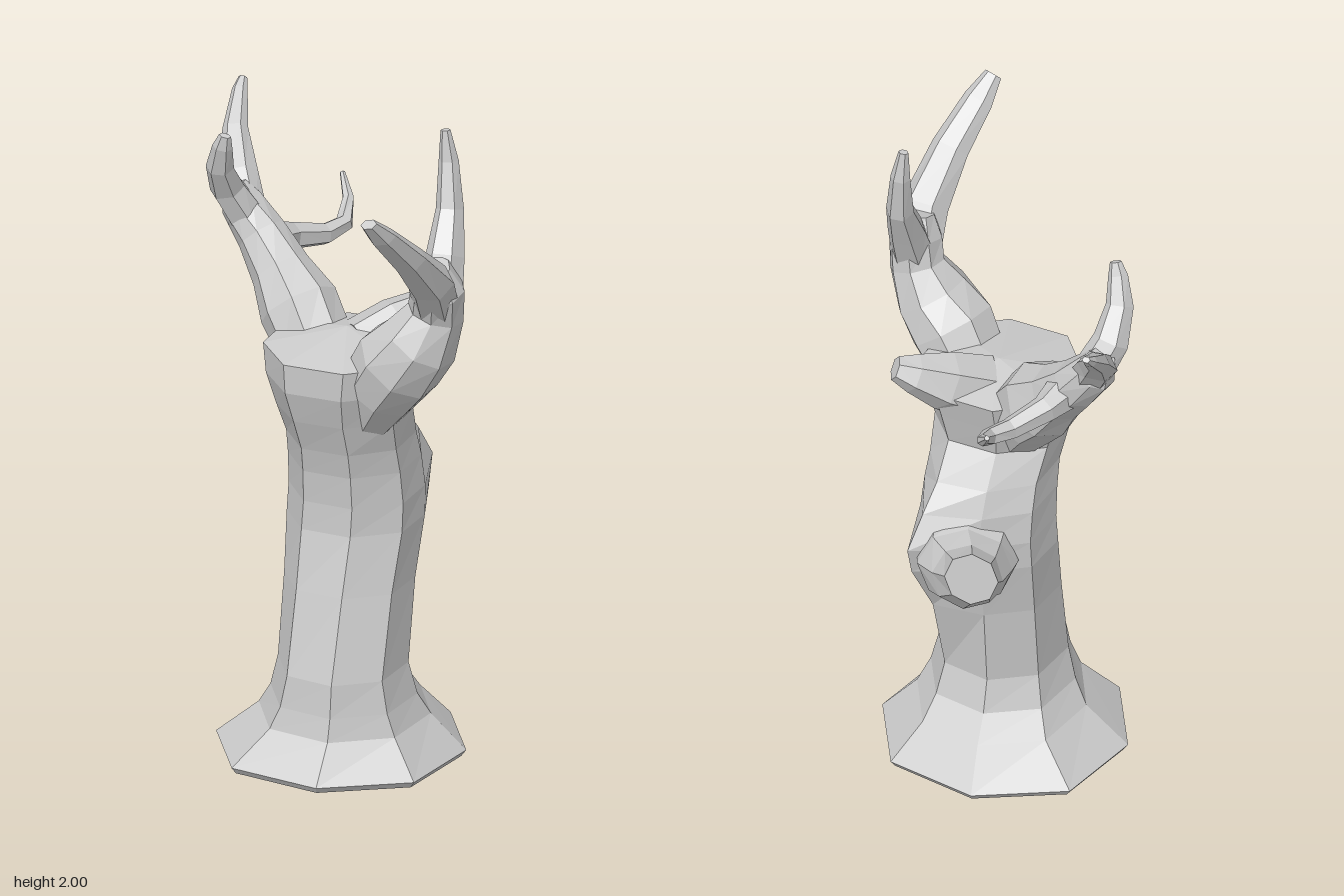
import * as THREE from 'three';

const V = (x, y, z) => new THREE.Vector3(x, y, z);
const material = new THREE.MeshStandardMaterial({ color: 0xcccccc, flatShading: true });

// Closed faceted skin over a list of rings, capped with fans at both ends
function skin(name, rings, topCentre) {
  const n = rings[0].length, last = rings.length - 1, pos = [];
  const tri = (...p) => p.forEach((q) => pos.push(q.x, q.y, q.z));
  const middle = (ring) => ring.reduce((s, p) => s.add(p), V(0, 0, 0)).divideScalar(n);
  const bottom = middle(rings[0]), top = topCentre || middle(rings[last]);
  for (let j = 0; j < n; j++) {
    const k = (j + 1) % n;
    for (let i = 0; i < last; i++) {
      const a = rings[i], b = rings[i + 1];
      tri(a[j], a[k], b[k]);
      tri(a[j], b[k], b[j]);
    }
    tri(bottom, rings[0][k], rings[0][j]);
    tri(top, rings[last][j], rings[last][k]);
  }
  const geo = new THREE.BufferGeometry();
  geo.setAttribute('position', new THREE.Float32BufferAttribute(pos, 3));
  geo.computeVertexNormals();
  const mesh = new THREE.Mesh(geo, material);
  mesh.name = name;
  return mesh;
}

// Tapering limb through [x, y, z, radius along ref, other radius] points
function limb(name, points, { sides = 6, ref = V(1, 0, 0), endDir } = {}) {
  const c = points.map((p) => V(p[0], p[1], p[2]));
  const last = c.length - 1;
  const rings = points.map(([, , , ru, rv = ru], i) => {
    const t = c[Math.min(i + 1, last)].clone().sub(c[Math.max(i - 1, 0)]).normalize();
    if (i === last && endDir) t.copy(endDir).normalize();
    const v = t.clone().cross(ref).normalize();
    const u = v.clone().cross(t);
    return Array.from({ length: sides }, (_, j) => {
      const a = (j / sides) * Math.PI * 2;
      return c[i].clone().addScaledVector(u, ru * Math.cos(a)).addScaledVector(v, rv * Math.sin(a));
    });
  });
  return skin(name, rings);
}

// Eight-sided, slightly twisted trunk; each row is y, min x, max x, min z, max z
// and how far the corner beside the back branch swells
function trunk() {
  const rows = [
    [0, -0.345, 0.37, -0.325, 0.385, 0],
    [0.02, -0.36, 0.385, -0.34, 0.40, 0],
    [0.13, -0.23, 0.28, -0.24, 0.315, 0],
    [0.2, -0.19, 0.245, -0.175, 0.30, 0],
    [0.3, -0.165, 0.22, -0.145, 0.29, 0],
    [0.55, -0.155, 0.23, -0.17, 0.225, 0.3],
    [0.73, -0.155, 0.25, -0.21, 0.185, 0.85],
    [0.82, -0.15, 0.25, -0.22, 0.185, 1],
    [0.92, -0.15, 0.24, -0.21, 0.195, 0.55],
    [1.0, -0.15, 0.23, -0.18, 0.215, 0.2],
    [1.1, -0.17, 0.23, -0.12, 0.25, 0],
    [1.2, -0.2, 0.255, -0.15, 0.285, 0],
    [1.29, -0.21, 0.275, -0.175, 0.29, 0],
  ];
  const rings = rows.map(([y, x0, x1, z0, z1, swell]) =>
    Array.from({ length: 8 }, (_, j) => {
      const a = (j * Math.PI) / 4 + 0.16 * Math.min(y, 1);
      const r = j % 2 ? 0.515 : 0.5;
      const s = j === 3 ? swell : 0;
      return V(
        (x0 + x1) / 2 + (x1 - x0) * r * Math.sin(a) + 0.045 * s, y,
        (z0 + z1) / 2 + (z1 - z0) * r * Math.cos(a) - 0.1 * s);
    }));
  return skin('trunk', rings, V(0.03, 1.335, 0.03));
}

export function createModel() {
  const model = new THREE.Group();
  model.name = 'deadTree';
  model.add(trunk());

  // Sawn-off branch at the back
  model.add(limb('backBranch', [
    [0.07, 0.74, -0.08, 0.14], [0.065, 0.77, -0.19, 0.15], [0.05, 0.79, -0.27, 0.14, 0.115],
    [0.015, 0.825, -0.365, 0.105, 0.095], [-0.03, 0.905, -0.48, 0.08, 0.085],
  ], { sides: 8, endDir: V(-0.1, 0.1, -1) }));

  // Small stub on the rim
  model.add(limb('rimStub', [
    [0.07, 1.25, -0.01, 0.1], [0.165, 1.305, -0.08, 0.09], [0.245, 1.35, -0.13, 0.06], [0.295, 1.372, -0.15, 0.037],
  ], { ref: V(0, 0, 1) }));

  // Left limb with two tines
  const left = new THREE.Group();
  left.name = 'leftLimb';
  left.add(
    limb('leftStem', [
      [0.1, 1.08, 0.12, 0.08], [0.16, 1.21, 0.16, 0.12], [0.22, 1.305, 0.195, 0.133], [0.29, 1.39, 0.22, 0.115],
      [0.335, 1.485, 0.225, 0.085, 0.075], [0.345, 1.57, 0.245, 0.08, 0.09], [0.34, 1.64, 0.265, 0.045, 0.06],
    ], { sides: 8 }),
    limb('leftFrontTine', [
      [0.34, 1.5, 0.235, 0.07, 0.06], [0.34, 1.62, 0.325, 0.072, 0.065], [0.3, 1.745, 0.455, 0.058, 0.043],
      [0.245, 1.855, 0.56, 0.046, 0.03], [0.215, 1.915, 0.615, 0.027, 0.017],
    ]),
    limb('leftBackTine', [
      [0.345, 1.5, 0.23, 0.07, 0.06], [0.35, 1.64, 0.165, 0.058], [0.35, 1.76, 0.095, 0.042],
      [0.34, 1.9, 0.064, 0.03, 0.026], [0.33, 1.995, 0.062, 0.015, 0.012],
    ]),
  );
  model.add(left);

  // Right limb with three tines
  const right = new THREE.Group();
  right.name = 'rightLimb';
  right.add(
    limb('rightStem', [
      [-0.02, 1.1, 0, 0.08], [-0.085, 1.235, -0.06, 0.115], [-0.145, 1.325, -0.115, 0.12], [-0.21, 1.405, -0.175, 0.09],
      [-0.28, 1.49, -0.235, 0.075], [-0.345, 1.57, -0.265, 0.065], [-0.37, 1.625, -0.27, 0.04],
    ], { sides: 8 }),
    limb('rightFrontTine', [
      [-0.32, 1.53, -0.25, 0.06], [-0.375, 1.64, -0.205, 0.055, 0.046], [-0.385, 1.73, -0.145, 0.042, 0.035],
      [-0.37, 1.81, -0.11, 0.03, 0.022], [-0.36, 1.85, -0.1, 0.018, 0.012],
    ]),
    limb('rightBackTine', [
      [-0.32, 1.53, -0.24, 0.06], [-0.37, 1.635, -0.33, 0.06, 0.046], [-0.4, 1.73, -0.44, 0.038, 0.032],
      [-0.408, 1.81, -0.545, 0.023, 0.018], [-0.405, 1.835, -0.575, 0.013, 0.01],
    ]),
    limb('rightInnerTine', [
      [-0.26, 1.47, -0.22, 0.065], [-0.21, 1.45, -0.33, 0.042], [-0.13, 1.425, -0.42, 0.033],
      [-0.085, 1.435, -0.49, 0.027], [-0.09, 1.48, -0.57, 0.018], [-0.12, 1.535, -0.63, 0.008],
    ], { ref: V(0, 1, 0) }),
  );
  model.add(right);
  return model;
}
